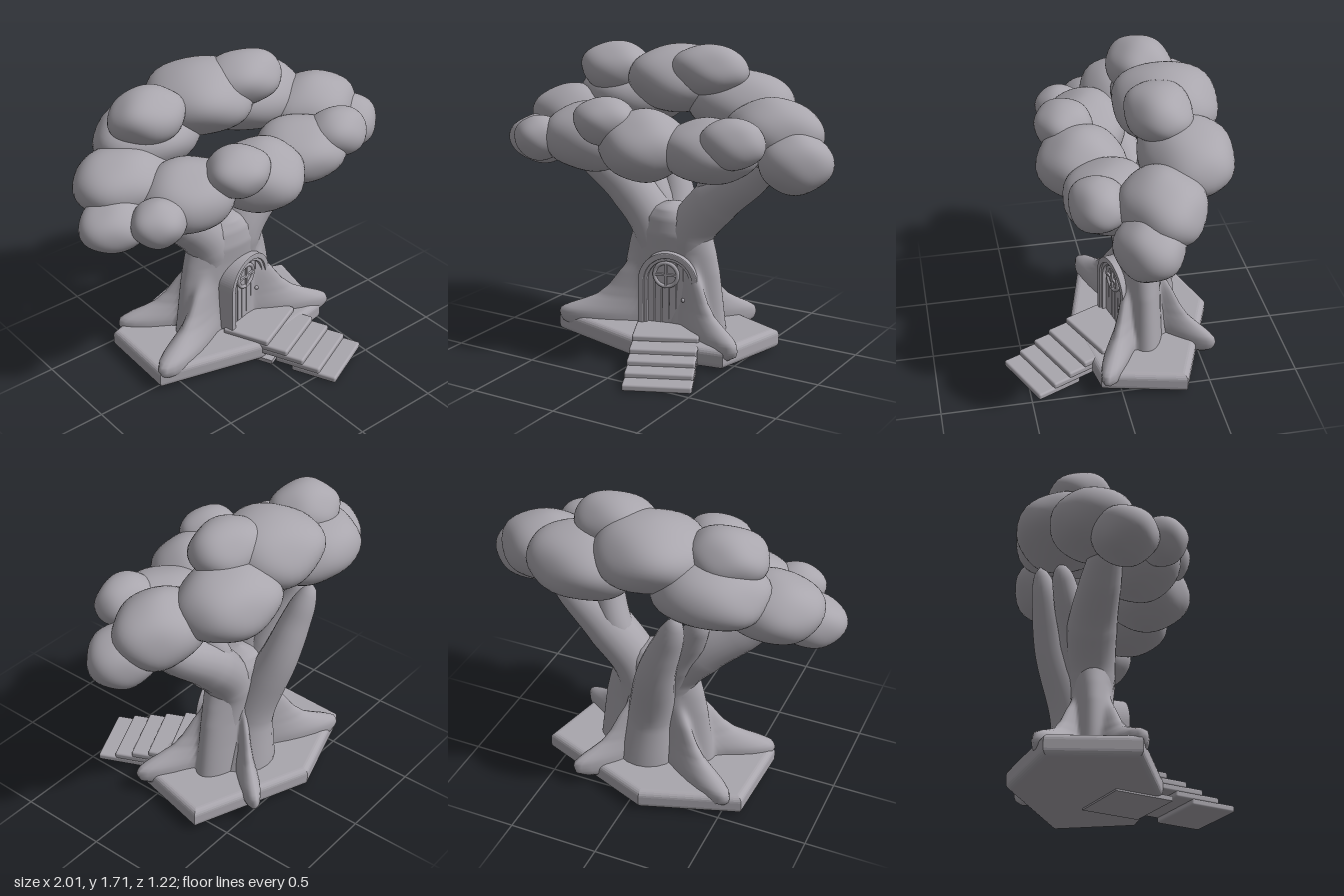
import * as THREE from 'three';
import { mergeVertices } from 'three/addons/utils/BufferGeometryUtils.js';
import { RoundedBoxGeometry } from 'three/addons/geometries/RoundedBoxGeometry.js';

const grey = new THREE.MeshStandardMaterial({ color: 0xa9a6ad });
grey.name = 'grey clay';

function add(parent, name, geometry, x = 0, y = 0, z = 0) {
  const mesh = new THREE.Mesh(geometry, grey);
  mesh.name = name;
  mesh.position.set(x, y, z);
  parent.add(mesh);
  return mesh;
}

// Drop the seams so that shading is smooth all round.
function smooth(geometry) {
  geometry.deleteAttribute('uv');
  geometry.deleteAttribute('normal');
  const merged = mergeVertices(geometry, 1e-4);
  merged.computeVertexNormals();
  return merged;
}

// Limb: a tube whose radius follows a list and whose tip is rounded.
function limb(points, radii) {
  const curve = new THREE.CatmullRomCurve3(points.map((p) => new THREE.Vector3(...p)));
  const segs = 40, sides = 20;
  const geo = new THREE.TubeGeometry(curve, segs, 1, sides, false);
  const pos = geo.attributes.position, nor = geo.attributes.normal;
  for (let i = 0; i <= segs; i++) {
    const t = i / segs, f = t * (radii.length - 1);
    const k = Math.min(Math.floor(f), radii.length - 2);
    let r = THREE.MathUtils.lerp(radii[k], radii[k + 1], f - k);
    if (t > 0.86) r *= Math.sqrt(Math.max(0, 1 - ((t - 0.86) / 0.14) ** 2));
    const c = curve.getPointAt(t);
    for (let j = 0; j <= sides; j++) {
      const v = i * (sides + 1) + j;
      pos.setXYZ(v, c.x + nor.getX(v) * r, c.y + nor.getY(v) * r, c.z + nor.getZ(v) * r);
    }
  }
  return smooth(geo);
}

// Foliage puff: an ellipsoid with soft lumps.
function puff(rx, ry, rz, seed) {
  const geo = new THREE.SphereGeometry(1, 40, 28);
  const pos = geo.attributes.position;
  const v = new THREE.Vector3();
  for (let i = 0; i < pos.count; i++) {
    v.fromBufferAttribute(pos, i);
    const lump = Math.sin(v.x * 3.4 + seed) * Math.sin(v.y * 3 + seed * 2) * Math.cos(v.z * 3.6 + seed * 3);
    v.multiplyScalar(1 + 0.06 * lump);
    pos.setXYZ(i, v.x * rx, v.y * ry, v.z * rz);
  }
  return smooth(geo);
}

// Value of a table of [key, value...] rows at a given key.
function lookUp(rows, key, column) {
  let k = 0;
  while (k < rows.length - 2 && rows[k + 1][0] < key) k++;
  const [a, b] = [rows[k], rows[k + 1]];
  return THREE.MathUtils.lerp(a[column], b[column], THREE.MathUtils.clamp((key - a[0]) / (b[0] - a[0]), 0, 1));
}

// Trunk: elliptical sections that flare into roots near the ground.
function trunkBody() {
  const cz = -0.18;
  // height, half width, half depth
  const sections = [[0.06, 0.35, 0.14], [0.3, 0.32, 0.125], [0.45, 0.3, 0.12], [0.56, 0.275, 0.125],
    [0.66, 0.245, 0.135], [0.75, 0.19, 0.12], [0.81, 0.08, 0.09], [0.83, 0.005, 0.01]];
  // height, share of the way to the root tip
  const reach = [[0.06, 0.9], [0.09, 0.98], [0.125, 1], [0.16, 0.98], [0.185, 0.9], [0.21, 0.8],
    [0.25, 0.66], [0.31, 0.55], [0.4, 0.44], [0.55, 0.2]];
  const roots = [[-0.63, 0.05, 0.3], [0.56, 0.1, 0.26], [0.34, -0.57, 0.25], [-0.55, -0.48, 0.28]];
  const sides = 144, rows = 56;
  const geo = new THREE.CylinderGeometry(1, 1, 1, sides, rows, false);
  const pos = geo.attributes.position;
  for (let i = 0; i < pos.count; i++) {
    const y = 0.06 + (pos.getY(i) + 0.5) * 0.77;
    const onAxis = Math.hypot(pos.getX(i), pos.getZ(i)) < 0.5;
    const a = Math.atan2(pos.getZ(i), pos.getX(i));
    const rx = lookUp(sections, y, 1), rz = lookUp(sections, y, 2);
    let r = 1 / Math.hypot(Math.cos(a) / rx, Math.sin(a) / rz);
    if (y < 0.55) {
      let sum = r ** 6;
      for (const [x, z, spread] of roots) {
        const turn = a - Math.atan2(z - cz, x);
        const off = Math.atan2(Math.sin(turn), Math.cos(turn)) / spread;
        sum += (Math.hypot(x, z - cz) * lookUp(reach, y, 1) * Math.exp(-off * off)) ** 6;
      }
      r = sum ** (1 / 6);
    }
    if (onAxis) r = 0;
    pos.setXYZ(i, Math.cos(a) * r, y, cz + Math.sin(a) * r);
  }
  return smooth(geo);
}

// Arch outline, r wide each side of the middle, from y0 up.
function archPath(PathType, r, y0, springY) {
  const p = new PathType();
  p.moveTo(-r, y0);
  p.lineTo(r, y0);
  p.lineTo(r, springY);
  p.absarc(0, springY, r, 0, Math.PI, false);
  p.lineTo(-r, y0);
  return p;
}

function archRing(outer, inner, depth) {
  const shape = archPath(THREE.Shape, outer, 0.14, 0.4);
  shape.holes.push(archPath(THREE.Path, inner, 0.145, 0.4));
  return new THREE.ExtrudeGeometry(shape, { depth, bevelEnabled: true, bevelSize: 0.005, bevelThickness: 0.006, bevelSegments: 2, curveSegments: 20 });
}

function createDoor() {
  const door = new THREE.Group();
  door.name = 'door';
  add(door, 'doorFrame', archRing(0.168, 0.145, 0.11), 0, 0, -0.1);
  add(door, 'innerFrame', archRing(0.143, 0.127, 0.09), 0, 0, -0.092);
  // Planks cut to the arch
  const count = 6, R = 0.127, w = (2 * R) / count;
  for (let i = 0; i < count; i++) {
    const a = -R + i * w + 0.003, b = a + w - 0.006;
    const s = new THREE.Shape();
    s.moveTo(a, 0.15);
    s.lineTo(b, 0.15);
    for (let k = 0; k <= 6; k++) {
      const x = b + ((a - b) * k) / 6;
      s.lineTo(x, 0.4 + Math.sqrt(Math.max(0, R * R - x * x)));
    }
    add(door, 'plank', new THREE.ExtrudeGeometry(s, { depth: 0.06, bevelEnabled: true, bevelSize: 0.002, bevelThickness: 0.005, bevelSegments: 1 }), 0, 0, -0.082);
  }
  // Round window with crossed bars
  add(door, 'windowRing', new THREE.TorusGeometry(0.068, 0.011, 10, 32), -0.015, 0.44, -0.01);
  const pane = add(door, 'windowPane', new THREE.CylinderGeometry(0.066, 0.066, 0.008, 32), -0.015, 0.44, -0.015);
  pane.rotation.x = Math.PI / 2;
  add(door, 'windowBar', new THREE.BoxGeometry(0.13, 0.013, 0.018), -0.015, 0.44, -0.008);
  add(door, 'windowBar', new THREE.BoxGeometry(0.013, 0.13, 0.018), -0.015, 0.44, -0.008);
  add(door, 'doorKnob', new THREE.SphereGeometry(0.012, 12, 8), 0.085, 0.3, -0.008);
  door.position.set(0.06, 0, -0.03);
  door.rotation.y = 0.24;
  return door;
}

// Overlapping slab steps down from the door; local z runs down the stairs.
function createStairs() {
  const stairs = new THREE.Group();
  stairs.name = 'stairs';
  const steps = [[0, 0.04, 0.27], [0.1, 0.068, 0.27], [0.2, 0.096, 0.27], [0.3, 0.124, 0.27], [0.42, 0.155, 0.28]];
  for (const [back, top, length] of steps) {
    add(stairs, 'step', new RoundedBoxGeometry(0.37, 0.038, length, 3, 0.012), 0, top - 0.019, -back - length / 2);
  }
  add(stairs, 'stairFoot', new THREE.BoxGeometry(0.37, 0.025, 0.34), 0, 0.015, -0.56);
  stairs.position.set(0.326, 0, 0.535);
  stairs.rotation.y = 0.43;
  return stairs;
}

function createBase() {
  const corners = [[-0.635, 0.03], [-0.03, 0.19], [0.49, 0.1], [0.595, -0.35], [-0.08, -0.615], [-0.615, -0.44]];
  const b = 0.035;
  const shape = new THREE.Shape(corners.map(([x, z]) => new THREE.Vector2(x * 0.965, -z * 0.97)));
  const geo = new THREE.ExtrudeGeometry(shape, { depth: 0.045, bevelEnabled: true, bevelSize: b, bevelThickness: b, bevelSegments: 5, bevelOffset: -0.017 });
  geo.rotateX(-Math.PI / 2);
  return geo;
}

export function createModel() {
  const tree = new THREE.Group();
  tree.name = 'treeHouse';
  add(tree, 'baseSlab', createBase(), 0, 0.047, 0);
  tree.add(createStairs(), createDoor());

  // Trunk, branches and the stem behind
  add(tree, 'trunk', trunkBody());
  for (const s of [-1, 1]) {
    add(tree, 'mainBranch', limb([[s * 0.14, 0.35, -0.19], [s * 0.11, 0.64, -0.185], [s * 0.27, 0.86, -0.19], [s * 0.49, 1.03, -0.16], [s * 0.7, 1.21, -0.12]],
      [0.09, 0.13, 0.135, 0.11, 0.07]));
  }
  add(tree, 'smallBranch', limb([[0.15, 0.7, -0.2], [0.23, 0.9, -0.2], [0.28, 1.06, -0.16], [0.32, 1.25, -0.1]], [0.09, 0.09, 0.08, 0.06]));
  add(tree, 'smallBranch', limb([[-0.08, 0.6, -0.22], [-0.18, 0.85, -0.27], [-0.28, 1.05, -0.33], [-0.34, 1.2, -0.37]], [0.1, 0.1, 0.08, 0.05]));
  add(tree, 'backStem', limb([[0.03, 0.1, -0.23], [-0.01, 0.45, -0.265], [-0.09, 0.8, -0.385], [-0.18, 1.05, -0.435], [-0.24, 1.23, -0.475]],
    [0.19, 0.135, 0.115, 0.09, 0.055]));

  // Foliage ring, higher at the back: centre, then radii
  const puffs = [
    [-0.04, 1.5, -0.33, 0.3, 0.19, 0.28], [-0.37, 1.37, -0.36, 0.31, 0.18, 0.25], [0.33, 1.38, -0.36, 0.31, 0.19, 0.25],
    [0.63, 1.28, -0.17, 0.27, 0.19, 0.22], [-0.65, 1.26, -0.21, 0.27, 0.17, 0.23],
    [0.8, 1.165, -0.07, 0.2, 0.165, 0.175], [-0.8, 1.125, -0.06, 0.2, 0.14, 0.17],
    [-0.4, 1.19, 0.04, 0.28, 0.19, 0.23], [0, 1.205, 0.13, 0.25, 0.19, 0.235], [0.36, 1.2, 0.05, 0.27, 0.17, 0.24],
    [-0.425, 1.535, -0.27, 0.215, 0.145, 0.18], [0.19, 1.572, -0.24, 0.23, 0.143, 0.175],
    [-0.2, 1.325, 0.19, 0.18, 0.13, 0.16], [0.54, 1.275, 0.14, 0.18, 0.135, 0.145], [-0.67, 1.175, 0.14, 0.15, 0.125, 0.135],
  ];
  puffs.forEach(([x, y, z, rx, ry, rz], i) => add(tree, 'foliage', puff(rx, ry, rz, i * 1.7), x, y, z));
  return tree;
}
